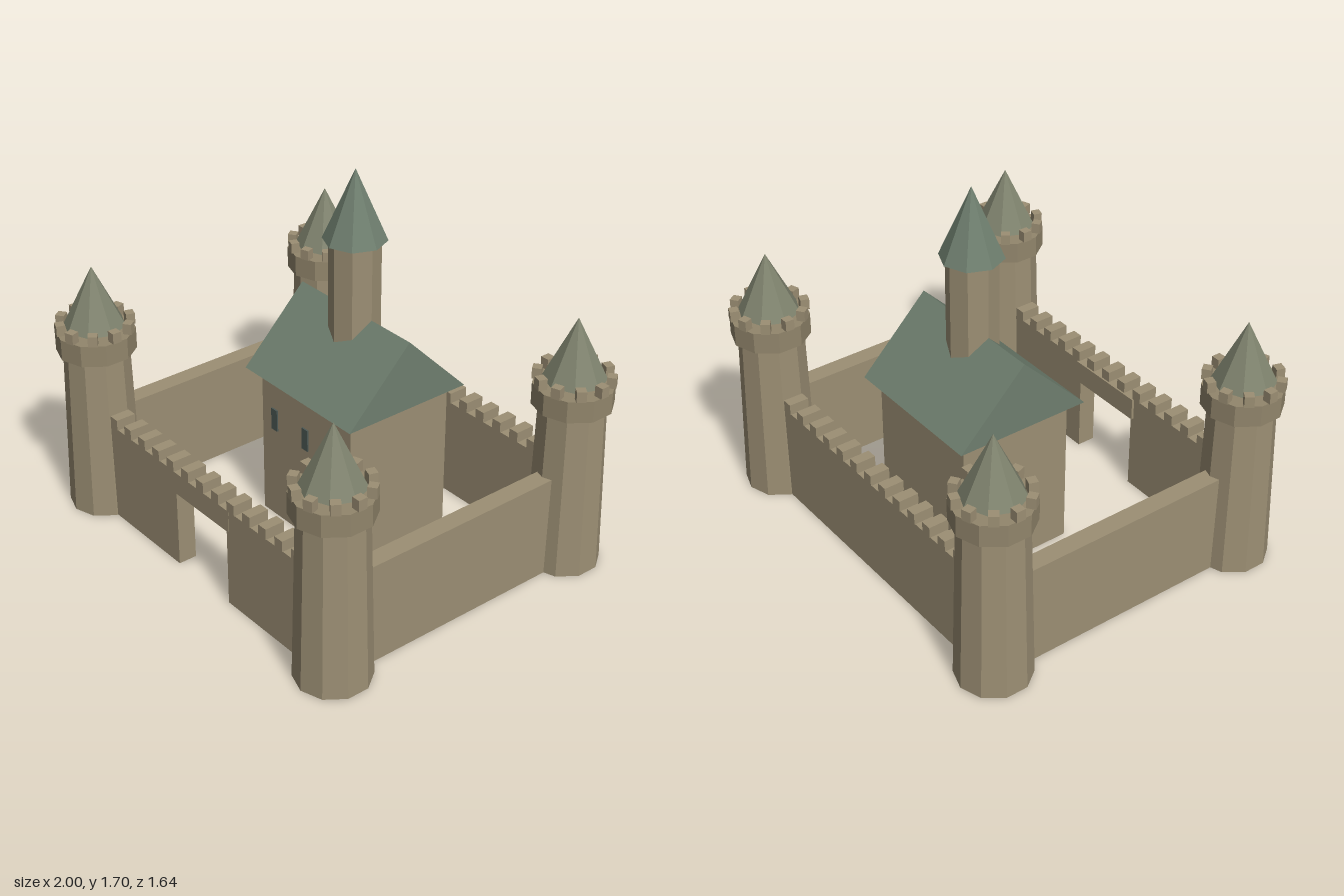
import * as THREE from 'three';

const mat = (color) => {
  const m = new THREE.MeshStandardMaterial({ flatShading: true });
  m.color.set(color);
  return m;
};

export function createModel() {
  const castle = new THREE.Group();
  castle.name = 'castle';
  const stone = mat(0x9c8f74), trim = mat(0x92866c);
  const slate = mat(0x6f7f6f), cap = mat(0x80846f), dark = mat(0x4c5854);

  const add = (parent, name, geometry, material, x, y, z) => {
    const mesh = new THREE.Mesh(geometry, material);
    mesh.name = name;
    mesh.position.set(x, y, z);
    parent.add(mesh);
    return mesh;
  };
  // box and prism helpers are placed by the height of their underside
  const box = (parent, name, w, h, d, x, y, z, m = stone) =>
    add(parent, name, new THREE.BoxGeometry(w, h, d), m, x, y + h / 2, z);
  const prism = (parent, name, top, bottom, h, sides, y, m) =>
    add(parent, name, new THREE.CylinderGeometry(top, bottom, h, sides), m, 0, y + h / 2, 0);

  const TX = 0.822, TZ = 0.645, WALL = 0.47, THICK = 0.086;

  // corner towers with corbelled crown, ring of merlons and pointed cap
  for (const sx of [-1, 1]) for (const sz of [-1, 1]) {
    const tower = new THREE.Group();
    tower.name = 'cornerTower';
    tower.position.set(sx * TX, 0, sz * TZ);
    prism(tower, 'towerShaft', 0.147, 0.166, 0.78, 10, 0, stone);
    prism(tower, 'towerCrown', 0.177, 0.177, 0.1, 10, 0.78, trim);
    prism(tower, 'towerCap', 0, 0.138, 0.28, 8, 0.9, cap);
    for (let i = 0; i < 10; i++) {
      const a = (i / 10) * Math.PI * 2;
      const merlon = box(tower, 'towerMerlon', 0.04, 0.05, 0.042,
        Math.cos(a) * 0.156, 0.88, Math.sin(a) * 0.156);
      merlon.rotation.y = -a;
    }
    castle.add(tower);
  }

  // plain side walls and the back wall
  for (const s of [-1, 1]) box(castle, 'sideWall', THICK, WALL, TZ * 2, s * TX, 0, 0);
  box(castle, 'backWall', TX * 2, WALL, THICK, 0, 0, -TZ);

  // front wall in two halves, bridged by the gate lintel
  const gate = 0.18;
  for (const s of [-1, 1])
    box(castle, 'frontWall', TX - gate, WALL, THICK, s * (TX + gate) / 2, 0, TZ);
  box(castle, 'gateLintel', 0.395, 0.105, 0.1, 0, 0.365, 0.64);

  // merlons along the front and back walls
  for (const z of [-TZ, TZ])
    for (let i = -6; i <= 6; i++)
      box(castle, 'wallMerlon', 0.05, 0.05, 0.094, i * 0.107, WALL, z);

  // keep
  const keep = new THREE.Group();
  keep.name = 'keep';
  keep.position.z = -0.142;
  castle.add(keep);
  box(keep, 'keepBody', 0.606, 0.72, 0.54, 0, 0, 0);
  for (const x of [-0.214, 0, 0.214])
    box(keep, 'keepWindow', 0.04, 0.105, 0.02, x, 0.45, 0.267, dark);

  // gabled roof, ridge along x
  const gable = new THREE.Shape([
    new THREE.Vector2(-0.32, 0), new THREE.Vector2(0.32, 0), new THREE.Vector2(0, 0.32),
  ]);
  const roof = new THREE.ExtrudeGeometry(gable, { depth: 0.714, bevelEnabled: false });
  roof.translate(0, 0, -0.357).rotateY(Math.PI / 2);
  add(keep, 'keepRoof', roof, slate, 0, 0.72, 0);

  // turret rising through the ridge
  prism(keep, 'turretShaft', 0.113, 0.113, 0.62, 8, 0.76, stone);
  prism(keep, 'turretSpire', 0, 0.14, 0.32, 8, 1.38, slate);

  return castle;
}
